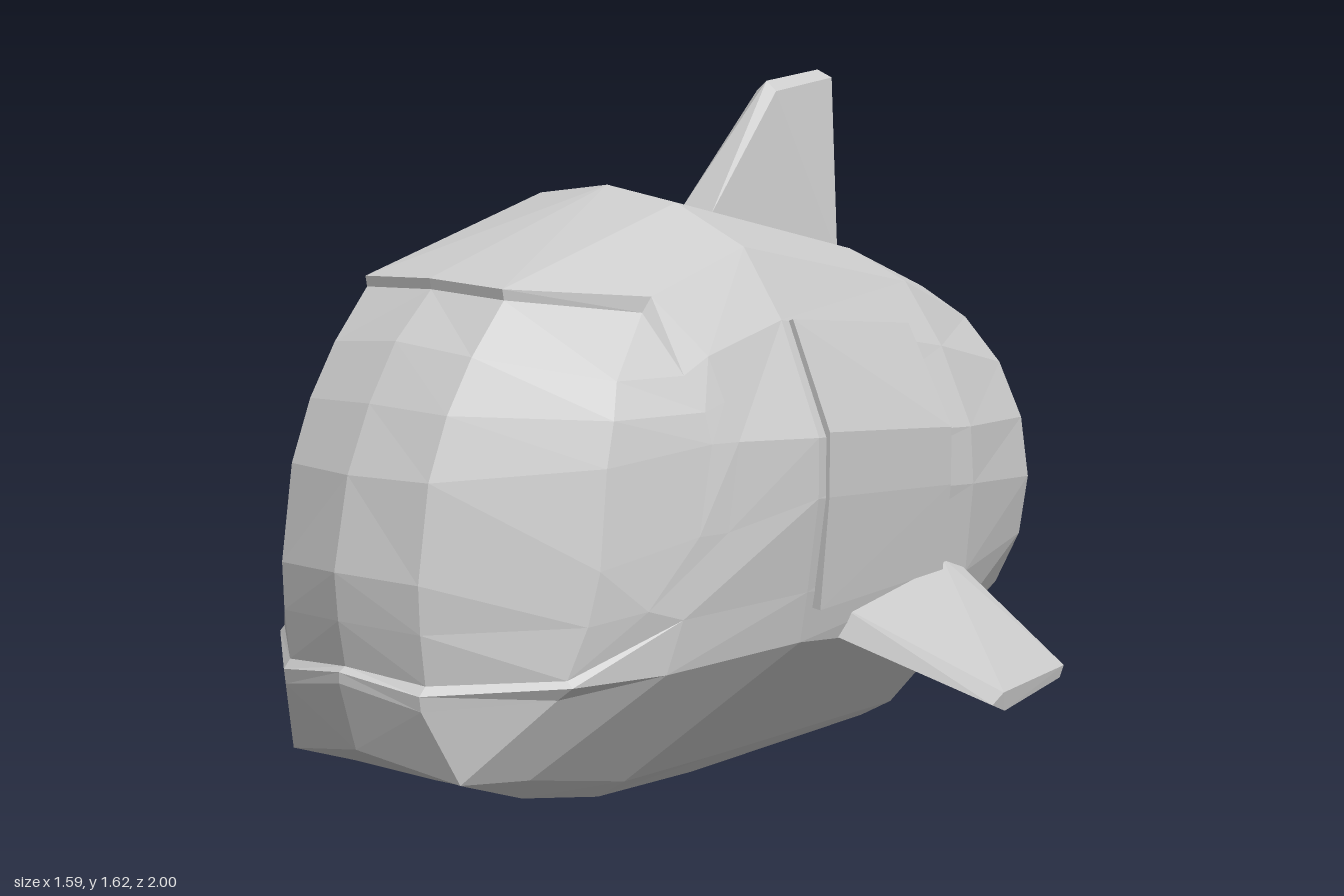
import * as THREE from 'three';
import { ConvexGeometry } from 'three/addons/geometries/ConvexGeometry.js';

const material = new THREE.MeshStandardMaterial({ color: 0xcccccc, flatShading: true });

// Faceted surface over rows of [x, y, z] points for the +x half, mirrored to -x.
function mirroredGrid(name, rows) {
  const pos = [];
  const tri = (a, b, c) => {
    const [p, q, r] = [a, b, c].map((v) => new THREE.Vector3(...v));
    if (q.sub(p).cross(r.sub(p)).length() < 1e-6) return;
    pos.push(...a, ...b, ...c);
    for (const v of [a, c, b]) pos.push(-v[0], v[1], v[2]);
  };
  for (let i = 0; i + 1 < rows.length; i++) {
    for (let j = 0; j + 1 < rows[i].length; j++) {
      const a = rows[i][j], b = rows[i][j + 1], c = rows[i + 1][j + 1], d = rows[i + 1][j];
      tri(a, c, b);
      tri(a, d, c);
    }
  }
  const g = new THREE.BufferGeometry();
  g.setAttribute('position', new THREE.Float32BufferAttribute(pos, 3));
  g.computeVertexNormals();
  return named(name, g);
}

function named(name, geometry) {
  const mesh = new THREE.Mesh(geometry, material);
  mesh.name = name;
  return mesh;
}

function solid(name, points, side = 1) {
  return named(name, new ConvexGeometry(points.map(([x, y, z]) => new THREE.Vector3(x * side, y, z))));
}

const section = (z, pts) => pts.map(([x, y]) => [x, y, z]);

// Half circle from top to bottom, 10 segments
function halfCircle(radius, z) {
  return Array.from({ length: 11 }, (_, i) => {
    const a = (i / 10) * Math.PI;
    return [radius * Math.sin(a), 0.595 + radius * Math.cos(a), z];
  });
}

export function createModel() {
  const model = new THREE.Group();
  model.name = 'whalePod';

  // Hull sections, top centre to bottom centre
  const tail = halfCircle(0.485, -1);
  const rear = section(-0.6, [[0, 1.22], [0.21, 1.19], [0.38, 1.12], [0.49, 0.97], [0.58, 0.78],
    [0.59, 0.64], [0.57, 0.42], [0.53, 0.28], [0.35, 0.06], [0.26, 0.01], [0, 0.01]]);
  const middle = section(0.08, [[0, 1.38], [0.21, 1.35], [0.41, 1.26], [0.52, 1.1], [0.63, 0.84],
    [0.63, 0.7], [0.6, 0.48], [0.58, 0.36], [0.35, 0.06], [0.26, 0], [0, 0]]);

  // Outer edge of the window frame, top centre round to bottom centre
  const rim = [[0, 1.21, 0.69], [0.21, 1.2, 0.68], [0.385, 1.17, 0.38], [0.5, 1.04, 0.32],
    [0.535, 0.94, 0.305], [0.565, 0.85, 0.29], [0.567, 0.65, 0.33], [0.545, 0.47, 0.46],
    [0.455, 0.35, 0.73], [0.21, 0.335, 0.955], [0, 0.365, 0.99]];

  // Lip line from the side to the front centre
  const lip = [[0.53, 0.35, 0.5], [0.42, 0.32, 0.74], [0.21, 0.3, 0.95], [0, 0.34, 0.99]];

  // Window rows, top to bottom, each from centre to side
  const pane = [
    [[0, 1.185, 0.685], [0.21, 1.175, 0.675], [0.375, 1.135, 0.4], [0.375, 1.135, 0.4]],
    [[0, 1.08, 0.8], [0.21, 1.06, 0.78], [0.42, 1.0, 0.54], [0.475, 1.0, 0.375]],
    [[0, 0.95, 0.885], [0.21, 0.94, 0.86], [0.45, 0.92, 0.585], [0.52, 0.92, 0.355]],
    [[0, 0.8, 0.955], [0.21, 0.8, 0.92], [0.46, 0.82, 0.62], [0.54, 0.85, 0.355]],
    [[0, 0.59, 1], [0.21, 0.58, 0.955], [0.475, 0.6, 0.66], [0.55, 0.65, 0.41]],
    [[0, 0.48, 0.99], [0.21, 0.47, 0.95], [0.465, 0.48, 0.69], [0.52, 0.5, 0.55]],
    [[0, 0.375, 0.97], [0.21, 0.355, 0.935], [0.44, 0.365, 0.73], [0.44, 0.365, 0.73]],
  ];
  const last = pane.length - 1;
  const paneEdge = [...pane[0].slice(0, 3), ...pane.slice(1, last).map((r) => r[3]),
    ...pane[last].slice(0, 3).reverse()];

  model.add(mirroredGrid('hull', [tail, rear, middle]));
  model.add(mirroredGrid('forehead', [middle.slice(0, 8),
    [...[0, 1, 2, 3, 5, 6, 7].map((i) => rim[i]), lip[0]]]));
  model.add(mirroredGrid('windowFrame', [rim, paneEdge]));
  model.add(mirroredGrid('window', pane));
  model.add(mirroredGrid('lip', [lip, rim.slice(7)]));

  // Lower jaw, swept from the hull to the chin
  const chin = [0, 0.18, 0.94], cheek = [0.26, 0.13, 0.88];
  model.add(mirroredGrid('jaw', [
    middle.slice(7),
    [lip[0], [0.34, 0.06, 0.42], [0.26, 0.01, 0.42], [0, 0.01, 0.42]],
    [lip[1], [0.32, 0.12, 0.72], [0.26, 0.06, 0.68], [0, 0.06, 0.69]],
    [lip[2], cheek, cheek, chin],
    [lip[3], chin, chin, chin],
  ]));

  // Recessed tail opening
  const inner = halfCircle(0.36, -0.93);
  model.add(mirroredGrid('tailPlate', [halfCircle(0, -0.93), inner]));
  model.add(mirroredGrid('tailFunnel', [inner, tail]));

  // Dorsal fin
  const dorsal = [[0, 1.62, -0.74], [0, 1.6, -0.53], [0, 1.6, -0.77]];
  for (const s of [-1, 1]) {
    dorsal.push([0.05 * s, 1.29, -0.25], [0.09 * s, 1.16, -0.71],
      [0.03 * s, 1.575, -0.53], [0.03 * s, 1.6, -0.76]);
  }
  model.add(solid('dorsalFin', dorsal));

  // Side fins
  const flipper = [[0.56, 0.35, -0.07], [0.56, 0.42, -0.09], [0.57, 0.47, -0.5], [0.55, 0.46, -0.57],
    [0.52, 0.32, -0.5], [0.795, 0.18, -0.44], [0.785, 0.13, -0.46], [0.77, 0.19, -0.74],
    [0.765, 0.16, -0.73], [0.79, 0.155, -0.4]];
  model.add(solid('leftFlipper', flipper), solid('rightFlipper', flipper, -1));

  // Door panel on the left flank
  model.add(solid('door', [
    ...section(0.05, [[0.53, 1.1], [0.638, 0.85], [0.638, 0.7], [0.615, 0.435], [0.45, 1.07], [0.5, 0.45]]),
    ...section(-0.46, [[0.49, 1.04], [0.62, 0.8], [0.62, 0.66], [0.6, 0.45], [0.42, 1.01], [0.48, 0.46]]),
  ]));

  return model;
}
